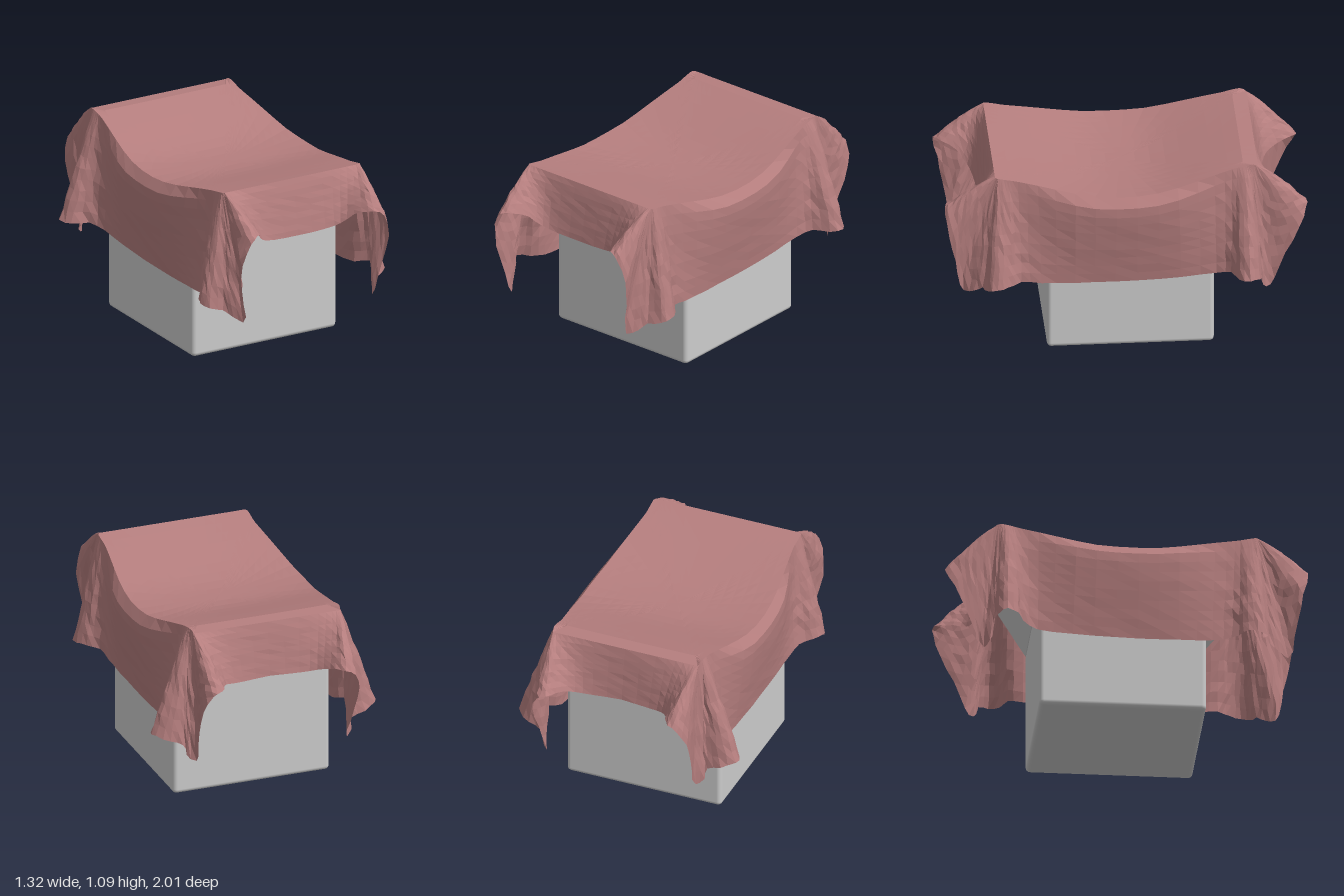
import * as THREE from 'three';
import { RoundedBoxGeometry } from 'three/addons/geometries/RoundedBoxGeometry.js';

// Height of the cloth over the flaps: a hammock-like sag between two raised edges
const sagTable = new THREE.SplineCurve([
  [-0.73, 1.075], [-0.68, 1.088], [-0.5, 1.045], [-0.2, 0.965], [0, 0.948], [0.2, 0.958], [0.5, 1.02], [0.72, 1.062],
].map(p => new THREE.Vector2(...p))).getPoints(120);

function clothTop(x, z) {
  let i = 0;
  while (i < sagTable.length - 2 && sagTable[i + 1].x < z) i++;
  const a = sagTable[i], b = sagTable[i + 1];
  const t = THREE.MathUtils.clamp((z - a.x) / (b.x - a.x), 0, 1);
  const middle = Math.max(0, 1 - (x / 0.5) ** 2);
  return a.y + (b.y - a.y) * t - 0.02 * middle * Math.max(0, 1 - (z / 0.7) ** 2);
}

// Hem from front middle, around the folded corner to the side: x, y, z, then rim x, z
const frontHem = [
  [0.18, 0.76, 0.80, 0.20, 0.72], [0.26, 0.79, 0.83, 0.32, 0.72],
  [0.32, 0.86, 0.90, 0.40, 0.72], [0.37, 0.88, 0.98, 0.42, 0.72],
  [0.43, 0.85, 1.00, 0.43, 0.72], [0.47, 0.70, 0.97, 0.432, 0.718],
  [0.44, 0.52, 0.935, 0.434, 0.715], [0.41, 0.36, 0.90, 0.436, 0.712],
  [0.45, 0.37, 0.84, 0.438, 0.71], [0.48, 0.40, 0.79, 0.44, 0.705],
  [0.56, 0.42, 0.76, 0.44, 0.70], [0.58, 0.44, 0.70, 0.44, 0.68],
  [0.55, 0.44, 0.64, 0.44, 0.65], [0.485, 0.43, 0.58, 0.44, 0.60],
  [0.472, 0.415, 0.46, 0.455, 0.48], [0.475, 0.41, 0.25, 0.485, 0.25],
];
const backHem = [
  [0.18, 0.77, -0.80, 0.20, -0.73], [0.27, 0.79, -0.84, 0.32, -0.73],
  [0.32, 0.82, -0.92, 0.40, -0.73], [0.36, 0.83, -0.99, 0.42, -0.73],
  [0.42, 0.80, -1.00, 0.43, -0.73], [0.46, 0.68, -0.945, 0.432, -0.725],
  [0.45, 0.50, -0.865, 0.434, -0.72], [0.44, 0.34, -0.80, 0.436, -0.71],
  [0.48, 0.36, -0.76, 0.438, -0.70], [0.50, 0.42, -0.74, 0.44, -0.69],
  [0.58, 0.45, -0.74, 0.44, -0.68], [0.655, 0.48, -0.69, 0.44, -0.66],
  [0.63, 0.47, -0.62, 0.44, -0.63], [0.53, 0.47, -0.58, 0.44, -0.59],
  [0.475, 0.44, -0.49, 0.455, -0.48], [0.475, 0.42, -0.27, 0.485, -0.25],
];

function clothGeometry(segments = 150, topRings = 9, skirtRings = 10) {
  // One side, then its mirror, closed into a loop
  const side = [...frontHem, [0.475, 0.41, 0, 0.50, 0], ...backHem.slice().reverse()];
  const mirrored = side.slice().reverse().map(([x, y, z, rx, rz]) => [-x, y, z, -rx, rz]);
  const loop = [[0, 0.75, 0.79, 0, 0.72], ...side, [0, 0.77, -0.78, 0, -0.73], ...mirrored];
  const closed = points => new THREE.CatmullRomCurve3(points, true, 'catmullrom', 0.5);
  const hem = closed(loop.map(p => new THREE.Vector3(p[0], p[1], p[2])));
  const rim = closed(loop.map(p => new THREE.Vector3(p[3], 0, p[4])));

  let seed = 7;
  const random = () => (seed = (seed * 16807) % 2147483647) / 2147483647 - 0.5;
  const { smoothstep } = THREE.MathUtils;
  const positions = [], index = [];
  const rings = topRings + skirtRings;
  for (let j = 0; j <= rings; j++) {
    for (let i = 0; i < segments; i++) {
      const r = rim.getPoint(i / segments), h = hem.getPoint(i / segments);
      if (j <= topRings) {
        // Sagging top sheet
        const k = j / topRings;
        positions.push(r.x * k, clothTop(r.x * k, r.z * k), r.z * k);
      } else {
        // Hanging skirt: crumpled near the corners, billowing below the rim at the sides
        const v = (j - topRings) / skirtRings;
        const corner = smoothstep(Math.abs(r.x), 0.3, 0.42) * smoothstep(Math.abs(r.z), 0.45, 0.62);
        const crumple = 0.008 * corner * Math.min(1, v * 2) + 0.003;
        const billow = 0.045 * smoothstep(Math.abs(r.x), 0.44, 0.49) * Math.sin(Math.PI * v ** 0.4);
        const y = clothTop(r.x, r.z);
        positions.push(
          r.x + (h.x - r.x) * v ** 0.92 + Math.sign(r.x) * billow + random() * crumple,
          y + (h.y - y) * v + random() * crumple * 0.6,
          r.z + (h.z - r.z) * v ** 0.82 + random() * crumple);
      }
      if (j < rings) {
        const n = (i + 1) % segments, a = j * segments, b = a + segments;
        if (j > 0) index.push(a + i, b + n, a + n);
        index.push(a + i, b + i, b + n);
      }
    }
  }
  const geometry = new THREE.BufferGeometry();
  geometry.setAttribute('position', new THREE.Float32BufferAttribute(positions, 3));
  geometry.setIndex(index);
  geometry.computeVertexNormals();
  return geometry;
}

export function createModel() {
  const model = new THREE.Group();
  const grey = new THREE.MeshStandardMaterial({ color: 0xcccccc });
  const pink = new THREE.MeshStandardMaterial({ color: 0xb57e7e, flatShading: true, side: THREE.DoubleSide });

  // Box body
  const box = new THREE.Mesh(new RoundedBoxGeometry(0.92, 0.71, 0.92, 3, 0.025), grey);
  box.position.set(-0.005, 0.355, -0.025);
  box.name = 'box';
  model.add(box);

  // Flared flaps that hold up the cloth: hinge z, y and tip z, y
  const flaps = [['frontFlap', 0.425, 0.70, 0.70, 1.03], ['backFlap', -0.475, 0.70, -0.69, 1.05]];
  for (const [name, z0, y0, z1, y1] of flaps) {
    const length = Math.hypot(z1 - z0, y1 - y0);
    const flap = new THREE.Mesh(new RoundedBoxGeometry(0.88, length, 0.02, 2, 0.008), grey);
    flap.position.set(0, (y0 + y1) / 2, (z0 + z1) / 2);
    flap.rotation.x = Math.atan2(z1 - z0, y1 - y0);
    flap.name = name;
    model.add(flap);
  }

  // Draped cloth
  const cloth = new THREE.Mesh(clothGeometry(), pink);
  cloth.name = 'cloth';
  model.add(cloth);
  return model;
}
